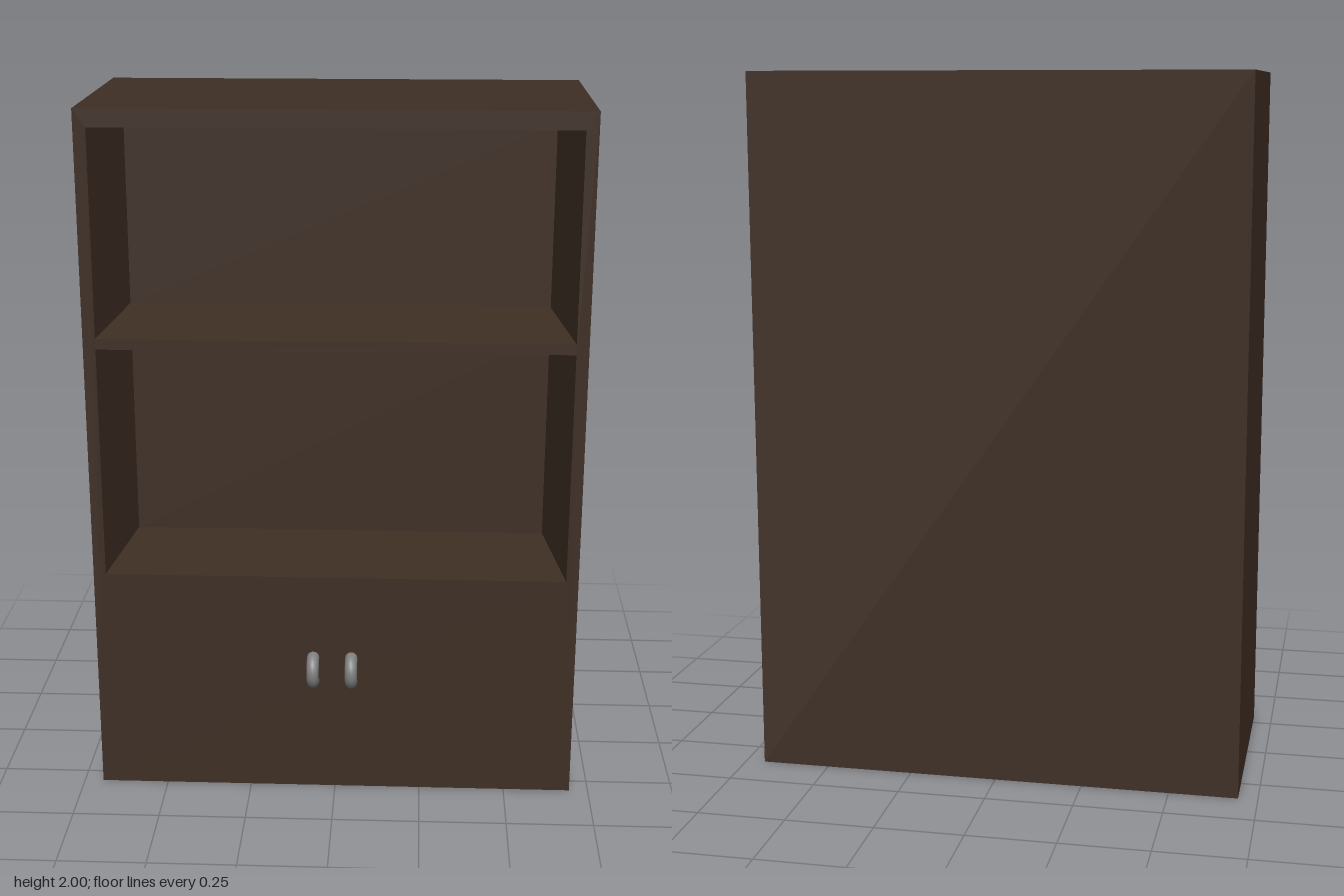
import * as THREE from 'three';

const W = 0.695, H = 2, BACK = -0.36, FRONT = 0.305, NICHE_BACK = -0.005;

// Flat quads from corner lists, each counter-clockwise seen from its front
function quads(list) {
  const pos = [];
  for (const [a, b, c, d] of list) pos.push(...a, ...b, ...c, ...a, ...c, ...d);
  const g = new THREE.BufferGeometry();
  g.setAttribute('position', new THREE.Float32BufferAttribute(pos, 3));
  g.computeVertexNormals();
  return g;
}

// Corners of a rectangle at depth z, counter-clockwise from the front
const rect = (x, y0, y1, z) => [[-x, y0, z], [x, y0, z], [x, y1, z], [-x, y1, z]];

export function createModel() {
  const group = new THREE.Group();
  const wood = new THREE.MeshStandardMaterial({ color: 0x3e2e24 });
  wood.name = 'dark wood';
  const metal = new THREE.MeshStandardMaterial({ color: 0x808080 });
  metal.name = 'grey metal';
  const add = (name, geometry, material) => {
    const mesh = new THREE.Mesh(geometry, material);
    mesh.name = name;
    group.add(mesh);
    return mesh;
  };

  // Outer case: sides, top and back
  const f = rect(W, 0, H, FRONT), b = rect(W, 0, H, BACK);
  add('case', quads([
    [f[1], b[1], b[2], f[2]],
    [b[0], f[0], f[3], b[3]],
    [f[3], f[2], b[2], b[3]],
    [b[1], b[0], b[3], b[2]],
  ]), wood);
  add('base', quads([[b[0], b[1], f[1], f[0]]]), metal);

  // Front panel with two shelf openings
  const niches = [
    { name: 'lowerShelf', y0: 0.67, y1: 1.34 },
    { name: 'upperShelf', y0: 1.37, y1: 1.95 },
  ];
  const outline = (x, y0, y1) => rect(x, y0, y1, 0).map(([px, py]) => new THREE.Vector2(px, py));
  const panel = new THREE.Shape(outline(W, 0, H));
  for (const n of niches) panel.holes.push(new THREE.Path(outline(0.66, n.y0, n.y1)));
  add('frontPanel', new THREE.ShapeGeometry(panel), wood).position.z = FRONT;

  // Shelf recesses that narrow towards the back
  for (const { name, y0, y1 } of niches) {
    const o = rect(0.66, y0, y1, FRONT), i = rect(0.61, y0 + 0.025, y1 - 0.025, NICHE_BACK);
    const faces = [i];
    for (let k = 0; k < 4; k++) {
      const n = (k + 1) % 4;
      faces.push([o[k], o[n], i[n], i[k]]);
    }
    add(name, quads(faces), wood);
  }

  // Ring handles, half sunk into the doors
  const ring = new THREE.TorusGeometry(0.037, 0.018, 16, 32).rotateY(Math.PI / 2);
  for (const [name, x] of [['rightHandle', -0.063], ['leftHandle', 0.048]]) {
    add(name, ring, metal).position.set(x, 0.382, FRONT);
  }
  return group;
}
